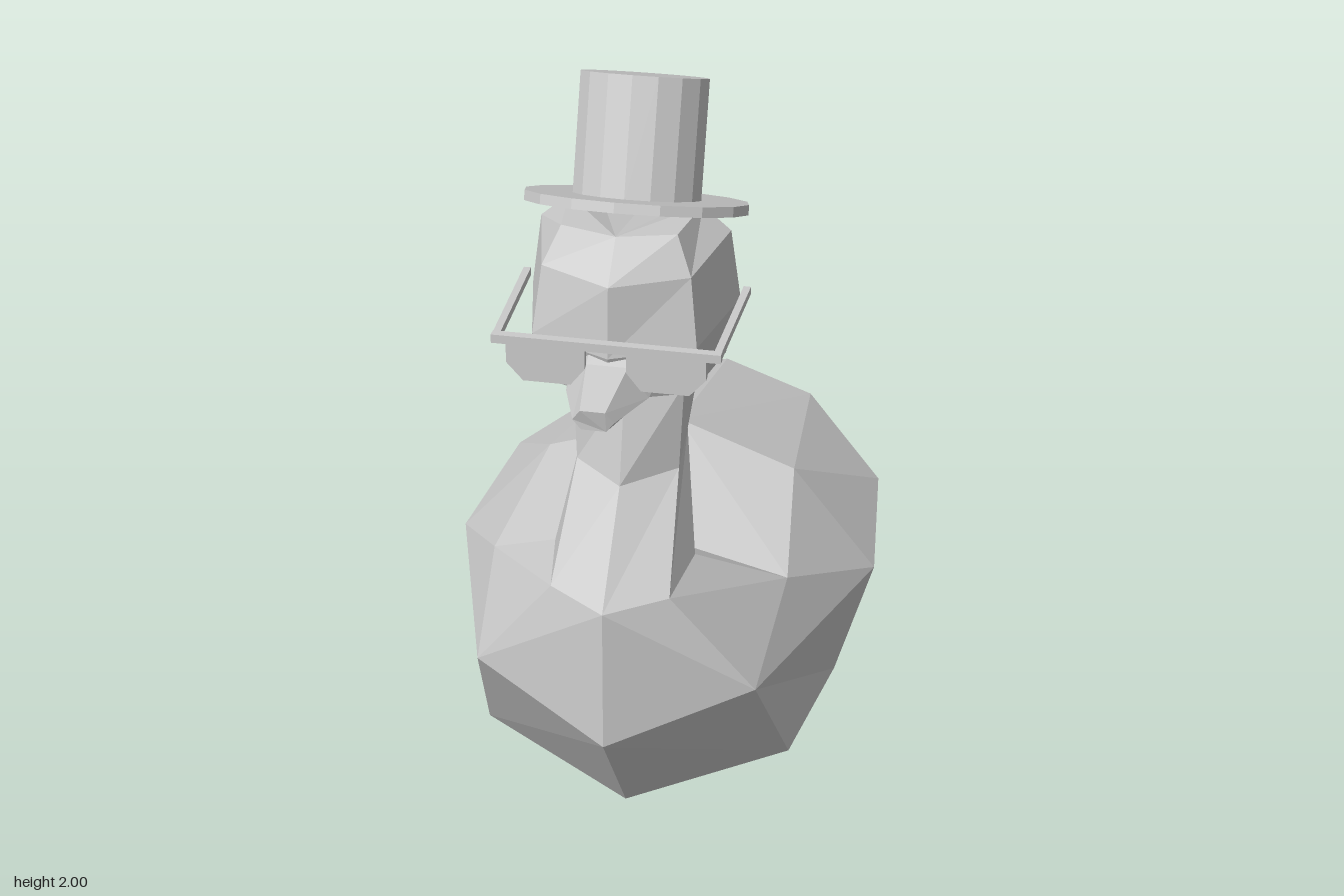
import * as THREE from 'three';

const material = new THREE.MeshStandardMaterial({ color: 0xcccccc, flatShading: true });

function add(parent, name, geometry) {
  const mesh = new THREE.Mesh(geometry, material);
  mesh.name = name;
  parent.add(mesh);
  return mesh;
}

function facetGeometry(triangles) {
  const g = new THREE.BufferGeometry();
  g.setAttribute('position', new THREE.Float32BufferAttribute(triangles.flat(2), 3));
  g.computeVertexNormals();
  return g;
}

const flip = ([x, y, z]) => [-x, y, z];

// Complete a half ring by mirroring the points off the centre line
const fullRing = half => [...half, ...half.filter(p => p[0] !== 0).reverse().map(flip)];

const fan = p => p.slice(2).map((c, i) => [p[0], p[i + 1], c]);

// Closed skin over half rings, capped at both ends
function loft(halfRings) {
  const rings = halfRings.map(fullRing);
  const n = rings[0].length;
  const tris = [...fan([...rings[0]].reverse()), ...fan(rings[rings.length - 1])];
  for (let r = 0; r < rings.length - 1; r++) {
    for (let i = 0; i < n; i++) {
      const j = (i + 1) % n;
      tris.push(...fan([rings[r][i], rings[r][j], rings[r + 1][j], rings[r + 1][i]]));
    }
  }
  return facetGeometry(tris);
}

// Mirrored polygons, each turned to face away from a centre point
function mirroredShell(polygons, centre) {
  const tris = [];
  const c = new THREE.Vector3(...centre);
  for (const t of polygons.flatMap(fan)) {
    const [a, b, d] = t.map(p => new THREE.Vector3(...p));
    const normal = b.clone().sub(a).cross(d.clone().sub(a));
    const out = normal.dot(a.clone().add(b).add(d).divideScalar(3).sub(c)) > 0 ? t : [...t].reverse();
    tris.push(out, out.map(flip).reverse());
  }
  return facetGeometry(tris);
}

// Neck sections: front centre, front corner, rear side, rear centre
const neckBase = [[0, 0.75, 0.85], [0.15, 0.76, 0.76], [0.18, 0.78, 0.58], [0, 0.68, 0.435]];

function bodyGeometry() {
  const [f0, f1, f2, f3] = neckBase;
  // keel, lower edge
  const k1 = [0, 0, 0.6], k2 = [0, 0, -0.38];
  const l1 = [0.41, 0.1, 0.44], l2 = [0.48, 0.12, 0.07], l3 = [0.4, 0.12, -0.24];
  // widest line from breast to tail, underside of tail
  const w0 = [0, 0.36, 0.86], w1 = [0.36, 0.48, 0.71], w2 = [0.575, 0.44, 0.03];
  const w3 = [0.53, 0.45, -0.42], w4 = [0.28, 0.51, -0.77], w5 = [0, 0.52, -0.92];
  const r = [0, 0.44, -0.64];
  // back: shoulder, wing ridge, hump, hollow behind the neck
  const a = [0.39, 0.62, 0.4], b = [0.34, 0.69, -0.03], c = [0, 0.74, -0.15], v = [0, 0.64, 0.29];
  return mirroredShell([
    [k1, l1, l2, l3, k2], [w0, w1, l1, k1], [w1, w2, l2, l1], [w2, w3, l3, l2],
    [w3, r, k2, l3], [w3, w4, w5, r],
    [f0, f1, w1, w0], [f1, f2, a, w1], [a, b, w2, w1],
    [w2, w3, b], [w3, w4, b], [w4, w5, c, b], [a, b, c, v], [f2, a, v, f3],
  ], [0, 0.35, 0.1]);
}

export function createModel() {
  const model = new THREE.Group();
  model.name = 'bird';

  add(model, 'body', bodyGeometry());

  add(model, 'neck', loft([
    neckBase,
    [[0, 0.99, 0.635], [0.13, 1.0, 0.535], [0.13, 1.05, 0.42], [0, 1.02, 0.325]],
    [[0, 1.23, 0.57], [0.14, 1.23, 0.52], [0.15, 1.215, 0.355], [0, 1.22, 0.265]],
  ]));

  // Head sections: front centre, front corner, side, rear side, rear centre
  add(model, 'head', loft([
    [[0, 1.23, 0.58], [0.13, 1.23, 0.54], [0.15, 1.22, 0.42], [0.15, 1.215, 0.355], [0, 1.22, 0.265]],
    [[0, 1.27, 0.7], [0.18, 1.27, 0.63], [0.225, 1.275, 0.42], [0.16, 1.25, 0.34], [0, 1.25, 0.255]],
    [[0, 1.41, 0.755], [0.2, 1.42, 0.68], [0.26, 1.43, 0.42], [0.18, 1.42, 0.28], [0, 1.42, 0.2]],
    [[0, 1.59, 0.74], [0.18, 1.59, 0.65], [0.235, 1.61, 0.42], [0.16, 1.57, 0.29], [0, 1.55, 0.235]],
    [[0, 1.68, 0.65], [0.14, 1.68, 0.61], [0.165, 1.67, 0.42], [0.11, 1.62, 0.31], [0, 1.6, 0.26]],
  ]));

  // Beak sections from face to tip: lower edge, side, upper edge
  add(model, 'beak', loft([
    [[0.06, 1.27, 0.66], [0.11, 1.33, 0.66], [0.05, 1.44, 0.66]],
    [[0.06, 1.285, 0.76], [0.1, 1.32, 0.76], [0.05, 1.395, 0.76]],
    [[0.03, 1.305, 0.91], [0.05, 1.33, 0.91], [0.03, 1.36, 0.92]],
  ]));

  // Glasses: brow bar, temples and half-round lenses
  const glasses = new THREE.Group();
  glasses.name = 'glasses';
  add(glasses, 'browBar', new THREE.BoxGeometry(0.55, 0.022, 0.022)).position.set(0, 1.45, 0.768);
  const lensOutline = [[0.05, 1.45], [0.05, 1.39], [0.085, 1.345], [0.2, 1.345], [0.24, 1.39], [0.24, 1.45]];
  for (const side of [1, -1]) {
    const temple = add(glasses, side > 0 ? 'leftTemple' : 'rightTemple', new THREE.BoxGeometry(0.018, 0.02, 0.36));
    temple.position.set(side * 0.27, 1.45, 0.595);
    temple.rotation.y = -side * 0.03;
    const shape = new THREE.Shape(lensOutline.map(([x, y]) => new THREE.Vector2(side * x, y)));
    add(glasses, side > 0 ? 'leftLens' : 'rightLens',
      new THREE.ExtrudeGeometry(shape, { depth: 0.018, bevelEnabled: false })).position.z = 0.759;
  }
  model.add(glasses);

  // Top hat, tipped backwards
  const hat = new THREE.Group();
  hat.name = 'hat';
  add(hat, 'hatBrim', new THREE.CylinderGeometry(0.275, 0.275, 0.025, 16));
  add(hat, 'hatCrown', new THREE.CylinderGeometry(0.158, 0.158, 0.305, 16)).position.y = 0.1525;
  hat.position.set(0, 1.662, 0.409);
  hat.rotation.x = -0.37;
  model.add(hat);

  return model;
}
